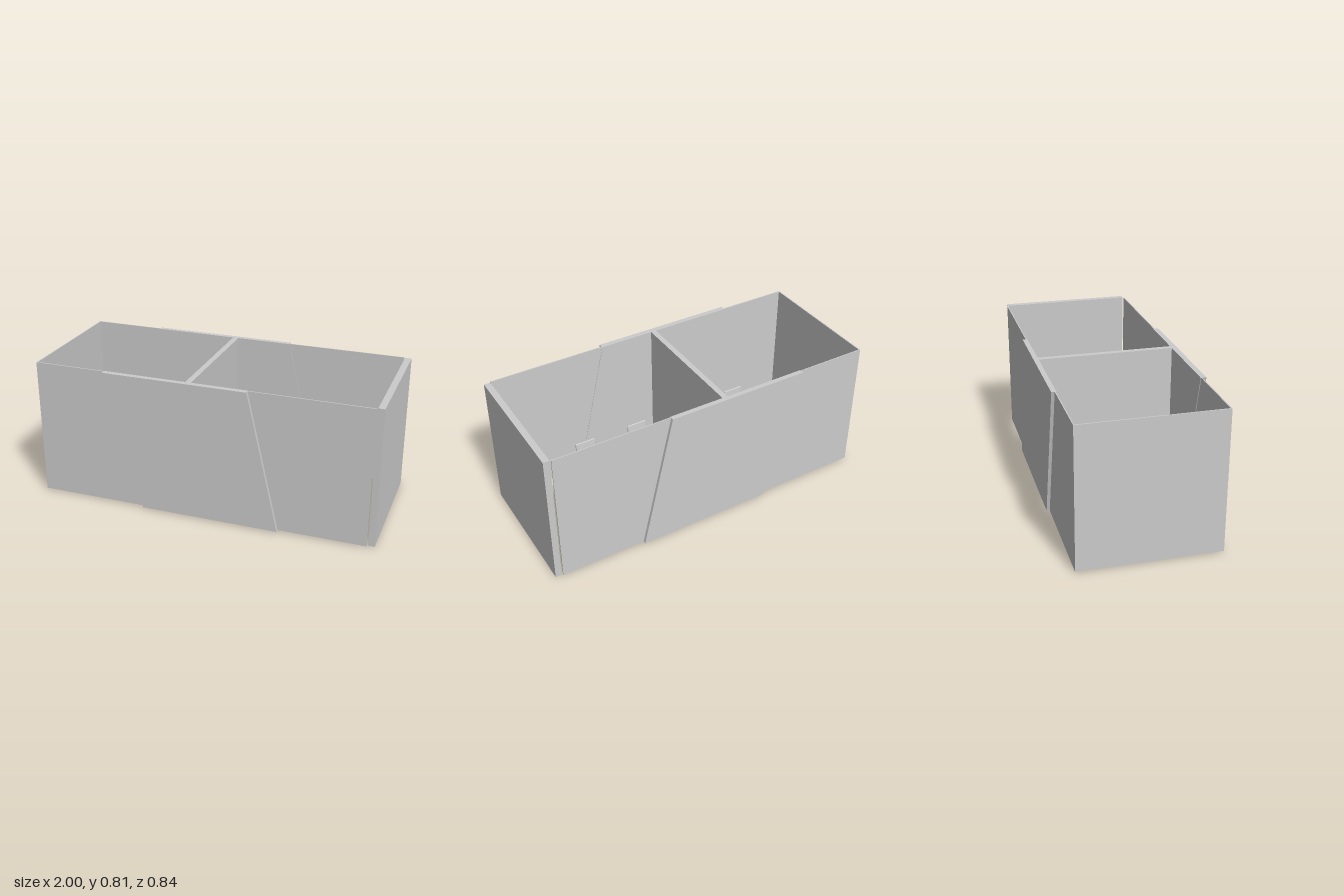
import * as THREE from 'three';
import { RoundedBoxGeometry } from 'three/addons/geometries/RoundedBoxGeometry.js';

const grey = new THREE.MeshStandardMaterial({ color: 0xcccccc });
const FLOOR = 0.005, TOP = 0.815;

function add(parent, name, geometry, x = 0, y = 0, z = 0) {
  const mesh = new THREE.Mesh(geometry, grey);
  mesh.name = name;
  mesh.position.set(x, y, z);
  parent.add(mesh);
  return mesh;
}

// Box given by its lower and upper limits
function block(parent, name, x0, x1, y0, y1, z0, z1) {
  return add(parent, name, new THREE.BoxGeometry(x1 - x0, y1 - y0, z1 - z0),
    (x0 + x1) / 2, (y0 + y1) / 2, (z0 + z1) / 2);
}

// Upright wall panel with slanted ends: x limits at the floor and at the top
function slantPanel(parent, name, floorX, topX, z0, z1) {
  const shape = new THREE.Shape([
    new THREE.Vector2(floorX[0], FLOOR), new THREE.Vector2(floorX[1], FLOOR),
    new THREE.Vector2(topX[1], TOP), new THREE.Vector2(topX[0], TOP)]);
  const geometry = new THREE.ExtrudeGeometry(shape, { depth: z1 - z0, bevelEnabled: false });
  return add(parent, name, geometry, 0, 0, z0);
}

function tube(points, radius, segments = 20) {
  const curve = new THREE.CatmullRomCurve3(points.map(p => new THREE.Vector3(...p)), false, 'catmullrom', 0.3);
  return new THREE.TubeGeometry(curve, segments, radius, 8, false);
}

// Long side: thin wall, thick slanted panel, thin wall
function createSide(name, wallZ, panelZ) {
  const side = new THREE.Group();
  side.name = name;
  slantPanel(side, 'thinWallRight', [-1, -0.355], [-1, -0.575], ...wallZ);
  slantPanel(side, 'slantedPanel', [-0.355, 0.455], [-0.575, 0.27], ...panelZ);
  slantPanel(side, 'thinWallLeft', [0.455, 0.957], [0.27, 0.957], ...wallZ);
  return side;
}

// Desk with one post under each end
function createDesk(x0, x1, z0, z1, postZ) {
  const desk = new THREE.Group();
  desk.name = 'desk';
  block(desk, 'deskTop', x0, x1, 0.188, 0.2, z0, z1);
  for (const x of [x0 + 0.028, x1 - 0.028]) {
    block(desk, 'deskPost', x - 0.008, x + 0.008, 0, 0.188, postZ - 0.011, postZ + 0.011);
  }
  return desk;
}

// Swivel chair, sitting direction -z
function createChair() {
  const chair = new THREE.Group();
  chair.name = 'officeChair';

  // Five-armed base with castors
  for (let i = 0; i < 5; i++) {
    const arm = new THREE.Group();
    arm.name = 'baseArm';
    arm.rotation.y = i * Math.PI * 2 / 5;
    add(arm, 'spoke', tube([[0, 0.028, 0], [0, 0.027, 0.035], [0, 0.017, 0.07]], 0.004, 8));
    const castor = add(arm, 'castor', new THREE.CylinderGeometry(0.007, 0.007, 0.01, 12), 0, 0.008, 0.07);
    castor.rotation.z = Math.PI / 2;
    chair.add(arm);
  }
  add(chair, 'hub', new THREE.CylinderGeometry(0.01, 0.012, 0.018, 16), 0, 0.03, 0);
  add(chair, 'gasColumn', new THREE.CylinderGeometry(0.006, 0.006, 0.085, 12), 0, 0.073, 0);
  block(chair, 'mechanism', -0.025, 0.025, 0.107, 0.116, -0.03, 0.03);

  // Cushions and the bracket joining them
  add(chair, 'seat', new RoundedBoxGeometry(0.13, 0.016, 0.13, 3, 0.006), 0, 0.123, -0.015);
  const back = add(chair, 'backrest', new RoundedBoxGeometry(0.128, 0.115, 0.012, 3, 0.005), 0, 0.205, 0.052);
  back.rotation.x = 0.1;
  add(chair, 'backBracket', tube([[0, 0.111, 0.01], [0, 0.113, 0.05], [0, 0.14, 0.061], [0, 0.2, 0.061]], 0.005));

  // Bent armrests
  for (const s of [-1, 1]) {
    add(chair, 'armFrame', tube([
      [s * 0.04, 0.113, 0], [s * 0.07, 0.116, 0], [s * 0.075, 0.135, -0.005],
      [s * 0.075, 0.172, -0.022], [s * 0.075, 0.178, 0.01],
      [s * 0.075, 0.176, 0.045], [s * 0.064, 0.172, 0.054]], 0.004, 32));
    add(chair, 'armPad', new RoundedBoxGeometry(0.014, 0.008, 0.065, 2, 0.003), s * 0.075, 0.181, 0.01);
  }
  return chair;
}

export function createModel() {
  const room = new THREE.Group();
  room.name = 'officeRoom';

  // Enclosure, open above and below
  room.add(createSide('frontSide', [0.39, 0.397], [0.387, 0.419]));
  room.add(createSide('backSide', [-0.4, -0.394], [-0.418, -0.39]));
  block(room, 'rightEndWall', -1, -0.993, FLOOR, TOP, -0.394, 0.39);
  block(room, 'leftEndWall', 0.963, 1, FLOOR, TOP, -0.393, 0.386);
  block(room, 'dividingWall', -0.089, -0.056, FLOOR, TOP, -0.39, 0.387);

  // Facing rows of desks
  for (const [x0, x1] of [[-0.757, -0.43], [-0.422, -0.095], [-0.045, 0.28], [0.288, 0.614]]) {
    room.add(createDesk(x0, x1, -0.202, -0.028, -0.119));
    room.add(createDesk(x0, x1, -0.018, 0.157, 0.066));
  }

  // Chairs on both sides
  for (const x of [-0.597, -0.243, 0.112, 0.465]) {
    const front = createChair();
    front.position.set(x, 0, 0.235);
    const back = createChair();
    back.position.set(x, 0, -0.298);
    back.rotation.y = Math.PI;
    room.add(front, back);
  }
  return room;
}
